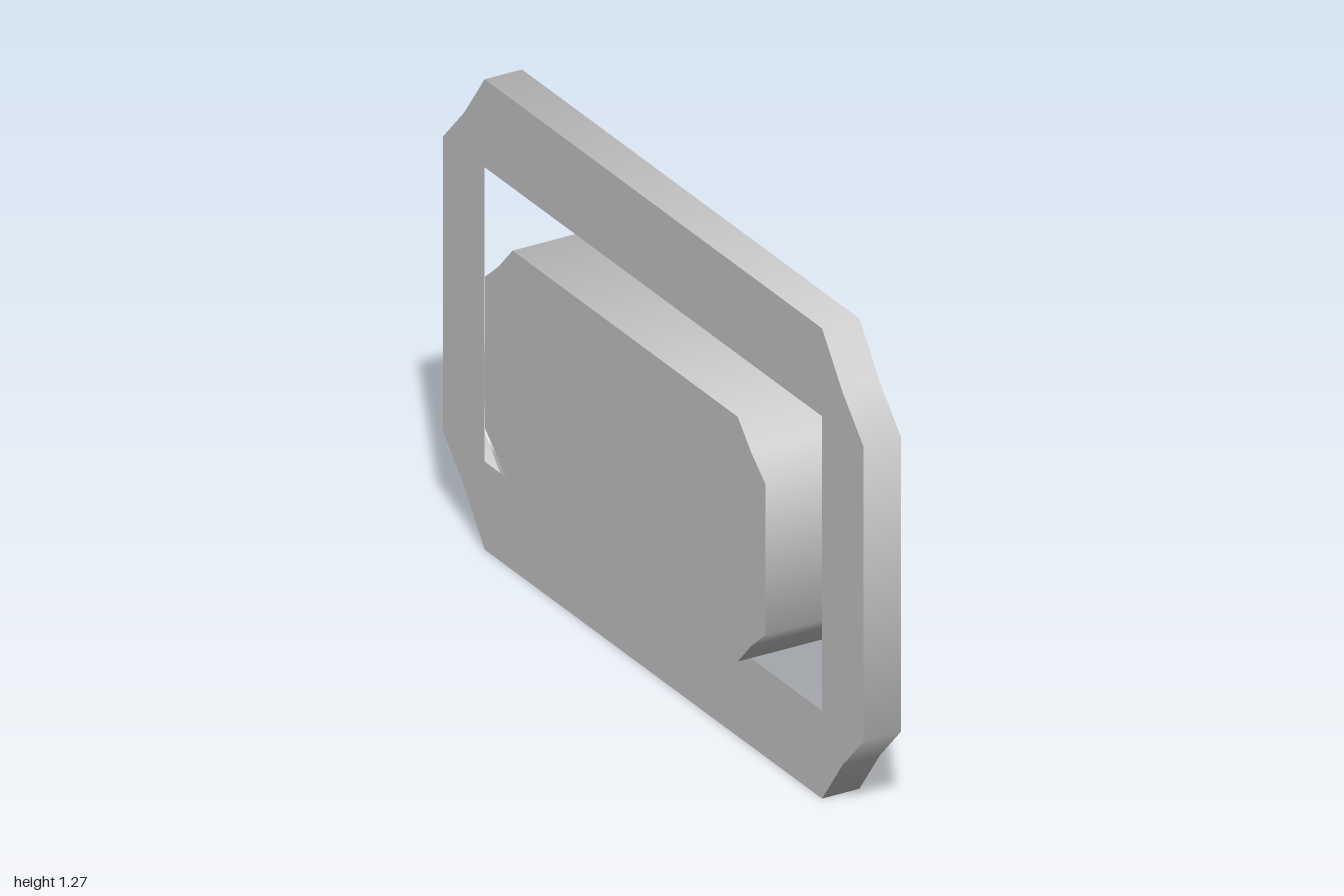
import * as THREE from 'three';

const material = new THREE.MeshStandardMaterial({ color: 0xcccccc, side: THREE.DoubleSide });

// Chamfered rectangle in (z, y), counter-clockwise; corner lists one corner's points
function outline(corner, midY) {
  const back = [...corner].reverse();
  return [
    ...corner,
    ...back.map(([z, y]) => [-z, y]),
    ...corner.map(([z, y]) => [-z, -y]),
    ...back.map(([z, y]) => [z, -y]),
  ].map(([z, y]) => new THREE.Vector2(z, y + midY));
}

// Thin band around the outline, smoothed evenly between neighbouring faces
function bandGeometry(points, half) {
  const positions = [], normals = [], index = [], n = points.length;
  const edgeNormal = (a, b) => new THREE.Vector2(b.y - a.y, a.x - b.x).normalize();
  points.forEach((p, i) => {
    const next = points[(i + 1) % n], previous = points[(i + n - 1) % n];
    const normal = edgeNormal(previous, p).add(edgeNormal(p, next)).normalize();
    positions.push(-half, p.y, p.x, half, p.y, p.x);
    normals.push(0, normal.y, normal.x, 0, normal.y, normal.x);
    const a = 2 * i, b = 2 * ((i + 1) % n);
    index.push(a, b, a + 1, b, b + 1, a + 1);
  });
  const geometry = new THREE.BufferGeometry();
  geometry.setAttribute('position', new THREE.Float32BufferAttribute(positions, 3));
  geometry.setAttribute('normal', new THREE.Float32BufferAttribute(normals, 3));
  geometry.setIndex(index);
  return geometry;
}

// Shallow tray: flat panel on the -x side, open towards +x
function tray(name, midY, half, corner, hole) {
  const points = outline(corner, midY);
  const shape = new THREE.Shape(points);
  if (hole) shape.holes.push(new THREE.Path(outline(hole, midY).reverse()));
  const panel = new THREE.Mesh(new THREE.ShapeGeometry(shape), material);
  panel.geometry.rotateY(-Math.PI / 2).translate(-half, 0, 0);
  panel.name = name + 'Panel';
  const wall = new THREE.Mesh(bandGeometry(points, half), material);
  wall.name = name + 'Wall';
  const group = new THREE.Group();
  group.name = name;
  group.add(panel, wall);
  return group;
}

export function createModel() {
  const model = new THREE.Group();
  model.name = 'framedTray';
  model.add(
    // Outer frame with a rectangular opening
    tray('outerFrame', 0.6375, 0.053, [[1, 0.399], [0.9, 0.505], [0.802, 0.6375]], [[0.802, 0.399]]),
    // Deeper tray floating in the opening, slightly below its middle
    tray('innerTray', 0.611, 0.133, [[0.667, 0.205], [0.6, 0.262], [0.535, 0.332]]),
  );
  return model;
}
